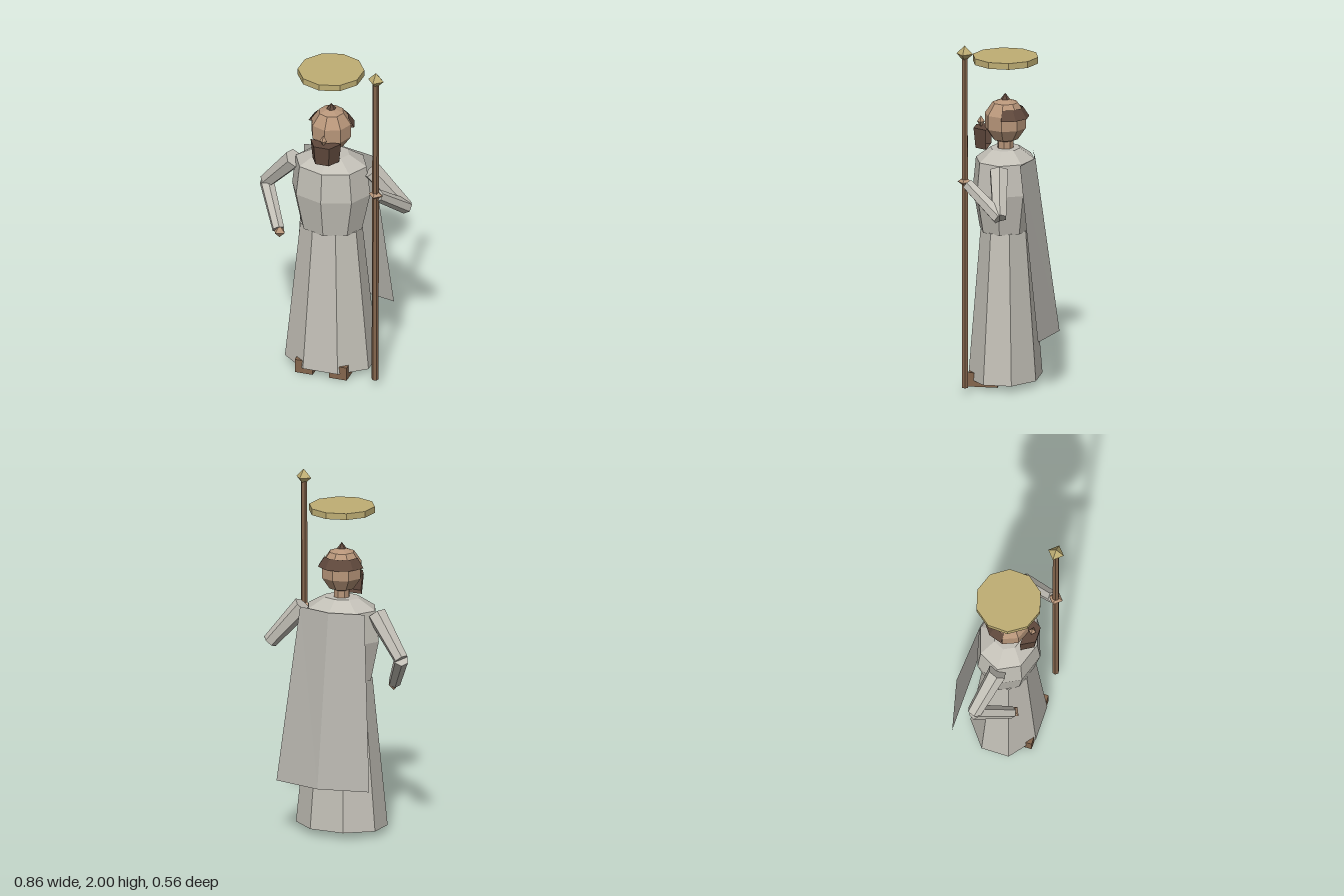
import * as THREE from 'three';

const mat = (name, color, side = THREE.FrontSide) => {
  const m = new THREE.MeshStandardMaterial({ color, flatShading: true, side });
  m.name = name;
  return m;
};

export function createModel() {
  const robe = mat('robe cloth', 0xc3c0b7);
  const capeCloth = mat('cape cloth', 0xb6b4ad, THREE.DoubleSide);
  const skin = mat('skin', 0xb8967a);
  const wood = mat('brown wood and leather', 0x85664d);
  const hair = mat('dark hair', 0x5f483c, THREE.DoubleSide);
  const gold = mat('pale gold', 0xbfae74);

  const model = new THREE.Group();
  model.name = 'robedFigure';
  // The body is turned slightly to its left
  const body = new THREE.Group();
  body.name = 'body';
  body.position.set(0.012, 0, 0.043);
  body.rotation.y = 0.349;
  model.add(body);

  const add = (parent, name, geo, material, x = 0, y = 0, z = 0) => {
    const mesh = new THREE.Mesh(geo, material);
    mesh.name = name;
    mesh.position.set(x, y, z);
    parent.add(mesh);
    return mesh;
  };

  // Tapered tube between two points
  const limb = (name, a, b, r0, r1, material, sides = 6) => {
    const from = new THREE.Vector3(...a), to = new THREE.Vector3(...b);
    const dir = to.clone().sub(from);
    const mesh = add(model, name, new THREE.CylinderGeometry(r1, r0, dir.length(), sides), material);
    mesh.position.copy(from).add(to).multiplyScalar(0.5);
    mesh.quaternion.setFromUnitVectors(new THREE.Vector3(0, 1, 0), dir.normalize());
    return mesh;
  };

  // Skirt: octagon with a flat front
  const skirt = add(body, 'skirt', new THREE.CylinderGeometry(0.178, 0.266, 0.85, 8, 1, false, Math.PI / 8), robe, 0, 0.46, 0);
  skirt.scale.z = 0.78;

  // Torso: octagon with a corner at the front
  const torsoProfile = [[0, 0.88], [0.18, 0.88], [0.23, 1.11], [0.208, 1.285], [0.105, 1.345], [0, 1.345]];
  const torso = add(body, 'torso', new THREE.LatheGeometry(torsoProfile.map(p => new THREE.Vector2(...p)), 8), robe);
  torso.scale.z = 0.8;

  // Feet
  for (const s of [-1, 1]) {
    add(body, s > 0 ? 'leftFoot' : 'rightFoot', new THREE.BoxGeometry(0.105, 0.08, 0.166), wood, s * 0.1, 0.04, 0.1);
  }

  // Cape: two panels folded along the spine
  const top = [[0.2, 1.29, -0.12], [0, 1.29, -0.17], [-0.2, 1.29, -0.12]];
  const hem = [[0.288, 0.305, -0.238], [0, 0.305, -0.307], [-0.288, 0.305, -0.238]];
  const capeGeo = new THREE.BufferGeometry();
  capeGeo.setAttribute('position', new THREE.Float32BufferAttribute([...top, ...hem].flat(), 3));
  capeGeo.setIndex([0, 1, 4, 0, 4, 3, 1, 2, 4, 2, 5, 4]);
  capeGeo.computeVertexNormals();
  add(body, 'cape', capeGeo, capeCloth);

  // Neck and head
  add(body, 'neck', new THREE.CylinderGeometry(0.045, 0.045, 0.1, 8), skin, 0, 1.37, 0);
  const head = add(body, 'head', new THREE.SphereGeometry(0.122, 8, 5), skin, 0, 1.5, 0);
  head.scale.y = 1.06;
  const nose = add(body, 'nose', new THREE.OctahedronGeometry(0.022), skin, 0, 1.488, 0.138);
  nose.scale.y = 1.5;

  // Hair: tuft on the crown, fringe round the back, beard on the chin
  add(body, 'crownTuft', new THREE.ConeGeometry(0.027, 0.035, 6), hair, 0, 1.64, 0);
  const fringe = [[0.11, 1.52], [0.135, 1.522], [0.098, 1.578]].map(p => new THREE.Vector2(...p));
  add(body, 'hairFringe', new THREE.LatheGeometry(fringe, 5, Math.PI / 2, Math.PI), hair);
  add(body, 'beard', new THREE.CylinderGeometry(0.09, 0.078, 0.115, 3, 1, false, -Math.PI / 2, Math.PI), hair, 0, 1.402, 0.094);

  // Halo
  const halo = add(model, 'halo', new THREE.CylinderGeometry(0.186, 0.186, 0.036, 10), gold, 0.01, 1.853, 0.043);
  halo.rotation.y = Math.PI / 10;

  // Arms: left holds the staff, right rests at the hip
  const arms = [
    ['left', [0.232, 1.265, -0.045], [0.395, 1.045, -0.145], [0.37, 1.205, 0.075]],
    ['right', [-0.19, 1.265, 0.12], [-0.392, 1.045, 0.115], [-0.21, 0.855, 0.238]],
  ];
  for (const [side, shoulder, elbow, hand] of arms) {
    limb(side + 'UpperArm', shoulder, elbow, 0.056, 0.042, robe);
    limb(side + 'Forearm', elbow, hand, 0.042, 0.035, robe);
  }
  const staffHand = add(model, 'leftHand', new THREE.OctahedronGeometry(0.042), skin, 0.37, 1.218, 0.094);
  staffHand.scale.y = 0.7;
  staffHand.rotation.y = 0.28;
  add(model, 'rightHand', new THREE.OctahedronGeometry(0.038), skin, -0.2, 0.845, 0.24);

  // Staff with a faceted finial
  limb('staff', [0.367, 0.035, 0.095], [0.37, 1.93, 0.094], 0.02, 0.018, wood);
  add(model, 'staffFinial', new THREE.OctahedronGeometry(0.047), gold, 0.372, 1.953, 0.094).rotation.y = 0.28;

  return model;
}
